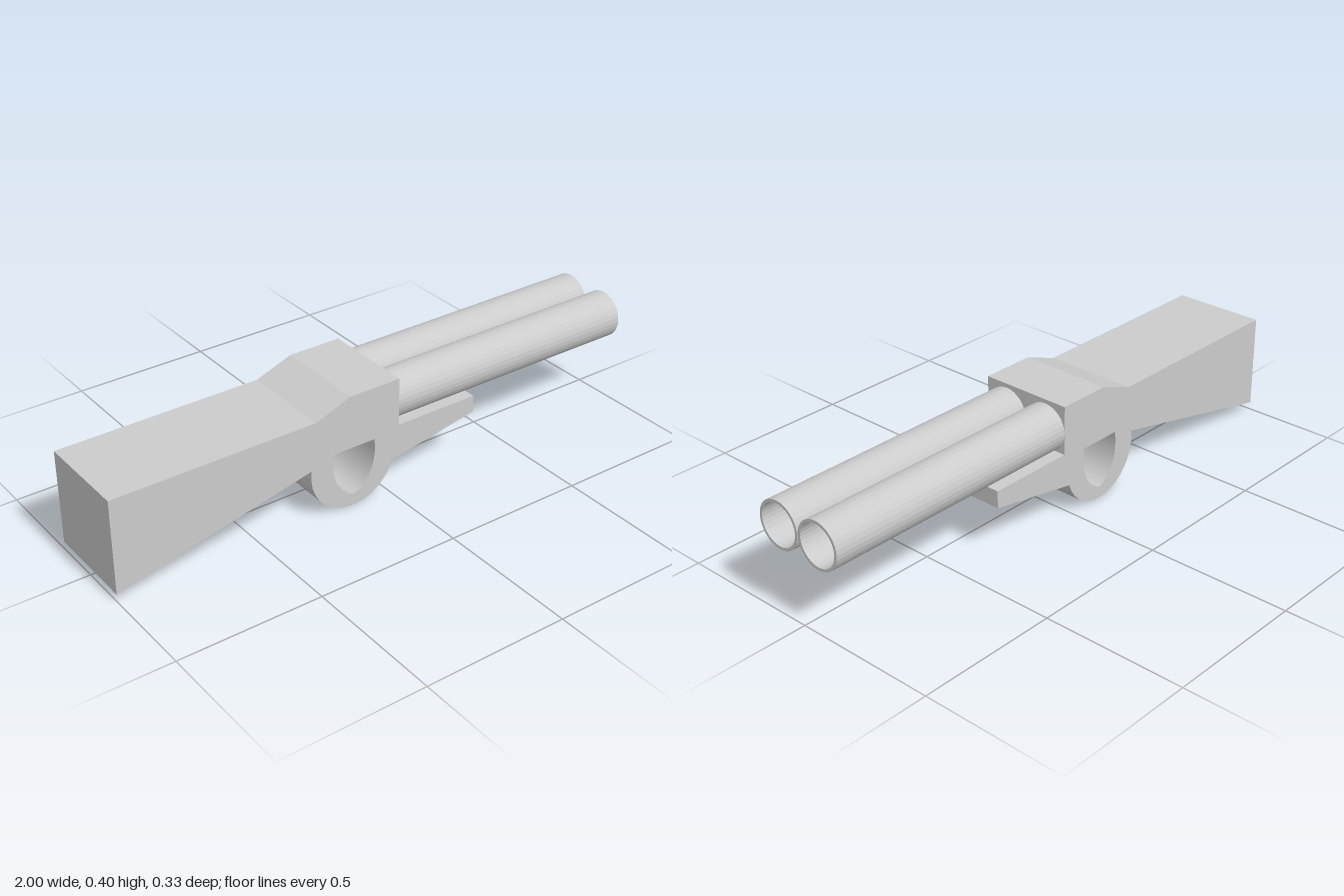
import * as THREE from 'three';

const HALF = 0.165; // half the body thickness
const material = new THREE.MeshStandardMaterial({ color: 0xcccccc, flatShading: true });

// Side profile pulled to the full body thickness
function slab(name, shape) {
  const geometry = new THREE.ExtrudeGeometry(shape, { depth: HALF * 2, bevelEnabled: false, curveSegments: 16 });
  geometry.translate(0, 0, -HALF);
  const mesh = new THREE.Mesh(geometry, material);
  mesh.name = name;
  return mesh;
}

const polygon = (points) => new THREE.Shape(points.map(([x, y]) => new THREE.Vector2(x, y)));

// Hollow tube along x, with wall thickness at both ends
function barrel(name, z) {
  const start = 0.038, end = 1, outer = 0.082, inner = 0.072;
  const profile = [[inner, start], [outer, start], [outer, end], [inner, end], [inner, start]]
    .map(([r, y]) => new THREE.Vector2(r, y));
  const geometry = new THREE.LatheGeometry(profile, 32);
  geometry.rotateZ(-Math.PI / 2);
  const mesh = new THREE.Mesh(geometry, material);
  mesh.name = name;
  mesh.position.set(0, 0.312, z);
  return mesh;
}

export function createModel() {
  const model = new THREE.Group();
  model.name = 'doubleBarrelGun';

  // Tapered stock
  model.add(slab('stock', polygon([[-1, 0.03], [-0.298, 0.191], [-0.28, 0.36], [-1, 0.36]])));

  // Receiver, round trigger guard and fore-end share one outline
  const outline = [[-0.28, 0.36]];
  const cx = -0.14, cy = 0.165, radius = 0.162;
  const from = Math.PI - 0.16, to = Math.PI * 2 - 0.31, steps = 15;
  for (let i = 0; i <= steps; i++) {
    const a = from + ((to - from) * i) / steps;
    outline.push([cx + radius * Math.cos(a), cy + radius * Math.sin(a)]);
  }
  outline.push([0.35, 0.178], [0.35, 0.238], [0.04, 0.238], [0.04, 0.408], [-0.15, 0.408]);
  const body = polygon(outline);

  // Finger opening: flat top, pointed oval below
  const opening = new THREE.Path();
  opening.moveTo(-0.213, 0.22);
  opening.lineTo(-0.057, 0.22);
  opening.bezierCurveTo(-0.045, 0.14, -0.08, 0.06, -0.138, 0.045);
  opening.bezierCurveTo(-0.196, 0.06, -0.23, 0.14, -0.213, 0.22);
  body.holes.push(opening);
  model.add(slab('receiver', body));

  // Pair of barrels side by side
  model.add(barrel('leftBarrel', 0.083), barrel('rightBarrel', -0.083));

  return model;
}
